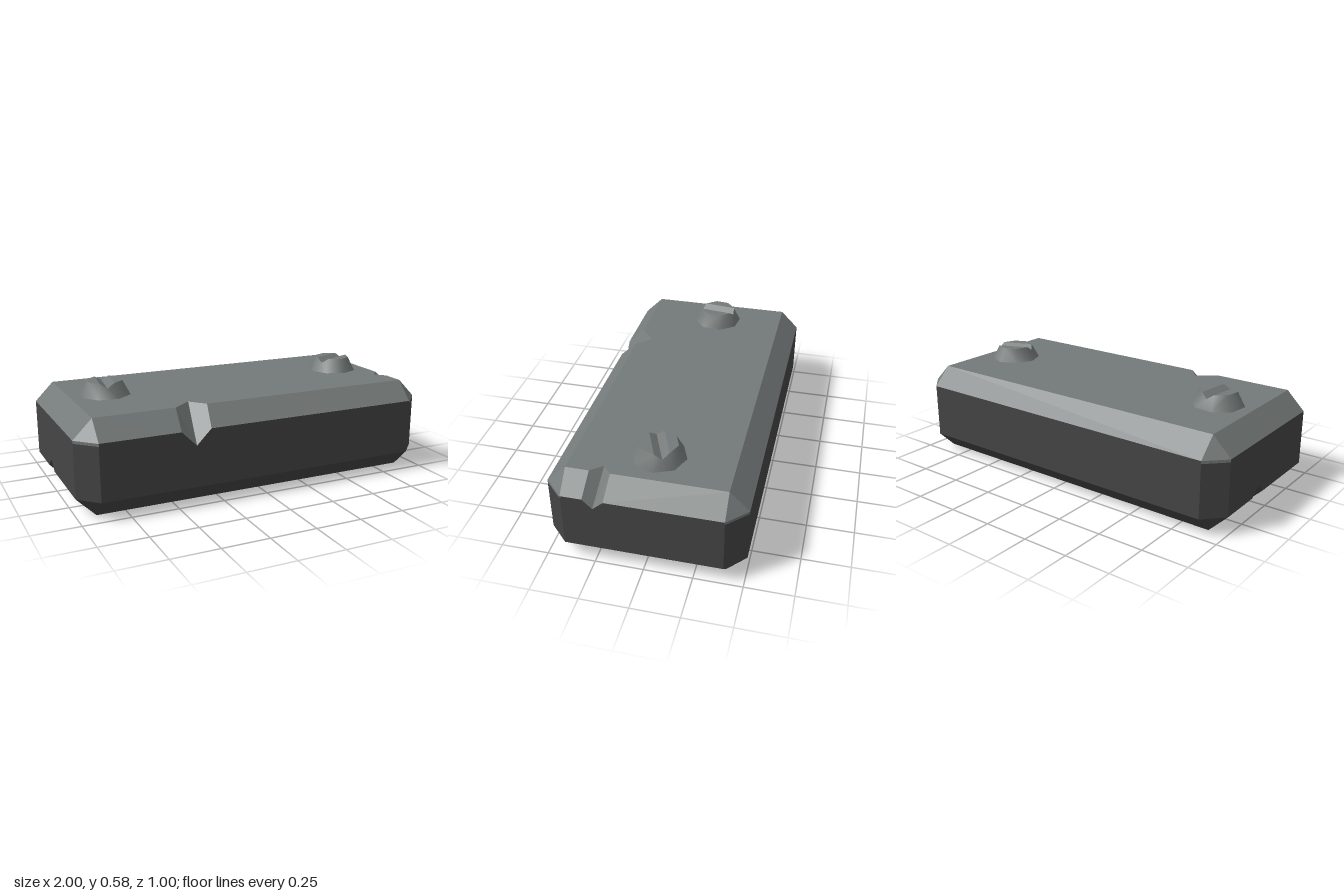
import * as THREE from 'three';
import { toCreasedNormals } from 'three/addons/utils/BufferGeometryUtils.js';

const lightStone = new THREE.MeshStandardMaterial({ color: 0x747a79 });
const darkStone = new THREE.MeshStandardMaterial({ color: 0x454545 });
lightStone.name = 'lightStone';
darkStone.name = 'darkStone';

const V = (p) => new THREE.Vector3(...p);

// Fills a flat outline with triangles that all face along dir
function face(out, pts, dir) {
  const d = V(dir);
  const ps = pts.map(V);
  const n = new THREE.Vector3();
  ps.forEach((p, i) => n.add(p.clone().cross(ps[(i + 1) % ps.length])));
  const a = [Math.abs(n.x), Math.abs(n.y), Math.abs(n.z)];
  const drop = a.indexOf(Math.max(...a));
  const flat = pts.map((p) => new THREE.Vector2(...p.filter((_, i) => i !== drop)));
  for (const t of THREE.ShapeUtils.triangulateShape(flat, [])) {
    const [p, q, r] = t.map((i) => ps[i]);
    const normal = q.clone().sub(p).cross(r.clone().sub(p));
    const tri = normal.dot(d) < 0 ? [p, r, q] : [p, q, r];
    tri.forEach((v) => out.push(v.x, v.y, v.z));
  }
}

function mesh(name, material, out, crease = 0) {
  let g = new THREE.BufferGeometry();
  g.setAttribute('position', new THREE.Float32BufferAttribute(out, 3));
  g.computeVertexNormals();
  if (crease) g = toCreasedNormals(g, crease);
  const m = new THREE.Mesh(g, material);
  m.name = name;
  return m;
}

// V-shaped chips: each line runs from the wall point to the top or bottom point
const frontChip = {
  l: [[-0.48, 0.4, 0.5], [-0.47, 0.5, 0.4]],
  f: [[-0.4, 0.32, 0.5], [-0.37, 0.5, 0.32]],
  r: [[-0.32, 0.4, 0.5], [-0.3, 0.5, 0.4]],
};
const sideChip = {
  l: [[1, 0.4, 0.29], [0.9, 0.5, 0.28]],
  f: [[1, 0.35, 0.24], [0.85, 0.5, 0.22]],
  r: [[1, 0.4, 0.185], [0.9, 0.5, 0.175]],
};
const lowerChip = {
  l: [[-1, 0.1, -0.15], [-0.9, 0, -0.14]],
  f: [[-1, 0.15, -0.09], [-0.85, 0, -0.08]],
  r: [[-1, 0.1, -0.03], [-0.9, 0, -0.02]],
};

function chipWalls(out, c, dir) {
  for (const e of [c.l, c.r]) face(out, [e[0], e[1], c.f[1], c.f[0]], dir);
}
const at = (c, i) => [c.l[i], c.f[i], c.r[i]];

function block() {
  const top = [], sides = [], chips = [], lowChip = [];

  // Top and bottom faces
  face(top, [[-0.9, 0.5, -0.4], [0.9, 0.5, -0.4], ...at(sideChip, 1).reverse(),
    [0.9, 0.5, 0.4], ...at(frontChip, 1).reverse(), [-0.9, 0.5, 0.4]], [0, 1, 0]);
  face(sides, [[0.9, 0, -0.4], [0.9, 0, 0.4], [-0.9, 0, 0.4],
    ...at(lowerChip, 1).reverse(), [-0.9, 0, -0.4]], [0, -1, 0]);

  // Walls
  face(sides, [[-0.9, 0.1, 0.5], [0.9, 0.1, 0.5], [0.9, 0.4, 0.5],
    ...at(frontChip, 0).reverse(), [-0.9, 0.4, 0.5]], [0, 0, 1]);
  face(sides, [[-0.9, 0.1, -0.5], [0.9, 0.1, -0.5], [0.9, 0.4, -0.5], [-0.9, 0.4, -0.5]], [0, 0, -1]);
  face(sides, [[1, 0.1, -0.4], [1, 0.1, 0.4], [1, 0.4, 0.4], ...at(sideChip, 0), [1, 0.4, -0.4]], [1, 0, 0]);
  face(sides, [[-1, 0.4, -0.4], [-1, 0.4, 0.4], [-1, 0.1, 0.4],
    ...at(lowerChip, 0).reverse(), [-1, 0.1, -0.4]], [-1, 0, 0]);

  // Upper bevels, broken by the chips
  face(top, [[-0.9, 0.4, 0.5], frontChip.l[0], frontChip.l[1], [-0.9, 0.5, 0.4]], [0, 1, 1]);
  face(top, [frontChip.r[0], [0.9, 0.4, 0.5], [0.9, 0.5, 0.4], frontChip.r[1]], [0, 1, 1]);
  face(top, [[-0.9, 0.4, -0.5], [0.9, 0.4, -0.5], [0.9, 0.5, -0.4], [-0.9, 0.5, -0.4]], [0, 1, -1]);
  face(top, [[1, 0.4, 0.4], sideChip.l[0], sideChip.l[1], [0.9, 0.5, 0.4]], [1, 1, 0]);
  face(top, [sideChip.r[0], [1, 0.4, -0.4], [0.9, 0.5, -0.4], sideChip.r[1]], [1, 1, 0]);
  face(top, [[-1, 0.4, -0.4], [-1, 0.4, 0.4], [-0.9, 0.5, 0.4], [-0.9, 0.5, -0.4]], [-1, 1, 0]);

  // Lower bevels
  for (const s of [-1, 1]) {
    face(sides, [[-0.9, 0.1, s * 0.5], [0.9, 0.1, s * 0.5], [0.9, 0, s * 0.4], [-0.9, 0, s * 0.4]], [0, -1, s]);
  }
  face(sides, [[1, 0.1, -0.4], [1, 0.1, 0.4], [0.9, 0, 0.4], [0.9, 0, -0.4]], [1, -1, 0]);
  face(sides, [[-1, 0.1, -0.4], lowerChip.l[0], lowerChip.l[1], [-0.9, 0, -0.4]], [-1, -1, 0]);
  face(sides, [lowerChip.r[0], [-1, 0.1, 0.4], [-0.9, 0, 0.4], lowerChip.r[1]], [-1, -1, 0]);

  // Corners: a bevelled post with a thin light band and a triangle at each end
  for (const sx of [-1, 1]) for (const sz of [-1, 1]) {
    const a = (y) => [sx, y, sz * 0.4];
    const b = (y) => [sx * 0.9, y, sz * 0.5];
    face(sides, [a(0.1), b(0.1), b(0.385), a(0.385)], [sx, 0, sz]);
    face(top, [a(0.385), b(0.385), b(0.4), a(0.4)], [sx, 0, sz]);
    face(top, [a(0.4), b(0.4), [sx * 0.9, 0.5, sz * 0.4]], [sx, 1, sz]);
    face(sides, [a(0.1), b(0.1), [sx * 0.9, 0, sz * 0.4]], [sx, -1, sz]);
  }

  chipWalls(chips, frontChip, [0, 1, 1]);
  chipWalls(chips, sideChip, [1, 1, 0]);
  chipWalls(lowChip, lowerChip, [-1, -1, 0]);

  const g = new THREE.Group();
  g.name = 'block';
  g.add(mesh('topCap', lightStone, top), mesh('blockSides', darkStone, sides),
    mesh('upperChips', lightStone, chips), mesh('lowerChip', darkStone, lowChip));
  return g;
}

// Eight-sided screw head with a V slot running along its local x
function screw(name, x, angle) {
  const h = 0.077, depth = 0.026, r0 = 0.139, r1 = 0.098;
  const ring = (r, y) => Array.from({ length: 8 }, (_, i) => {
    const t = (i - 0.5) * Math.PI / 4;
    return [r * Math.cos(t), y, r * Math.sin(t)];
  });
  const low = ring(r0, 0), high = ring(r1, h);
  const end = (r1 + (r0 - r1) * depth / h) * Math.cos(Math.PI / 8);
  const slot = [[end, h - depth, 0], [-end, h - depth, 0]];
  const sides = [], head = [];

  for (let i = 0; i < 8; i++) {
    const j = (i + 1) % 8, t = i * Math.PI / 4;
    const dip = i === 0 ? [slot[0]] : i === 4 ? [slot[1]] : [];
    face(sides, [low[i], low[j], high[j], ...dip, high[i]], [Math.cos(t), 0, Math.sin(t)]);
  }
  // Top lands and slot walls
  face(head, high.slice(1, 5), [0, 1, 0]);
  face(head, [...high.slice(5), high[0]], [0, 1, 0]);
  face(head, [high[1], high[4], slot[1], slot[0]], [0, 1, 0]);
  face(head, [high[0], high[5], slot[1], slot[0]], [0, 1, 0]);

  const g = new THREE.Group();
  g.name = name;
  g.add(mesh('screwSides', lightStone, sides, 0.9), mesh('screwHead', lightStone, head));
  g.position.set(x, 0.5, -0.017);
  g.rotation.y = THREE.MathUtils.degToRad(angle);
  return g;
}

export function createModel() {
  const model = new THREE.Group();
  model.name = 'chippedBlock';
  model.add(block(), screw('leftScrew', 0.71, 22.5), screw('rightScrew', -0.71, 82.5));
  return model;
}
